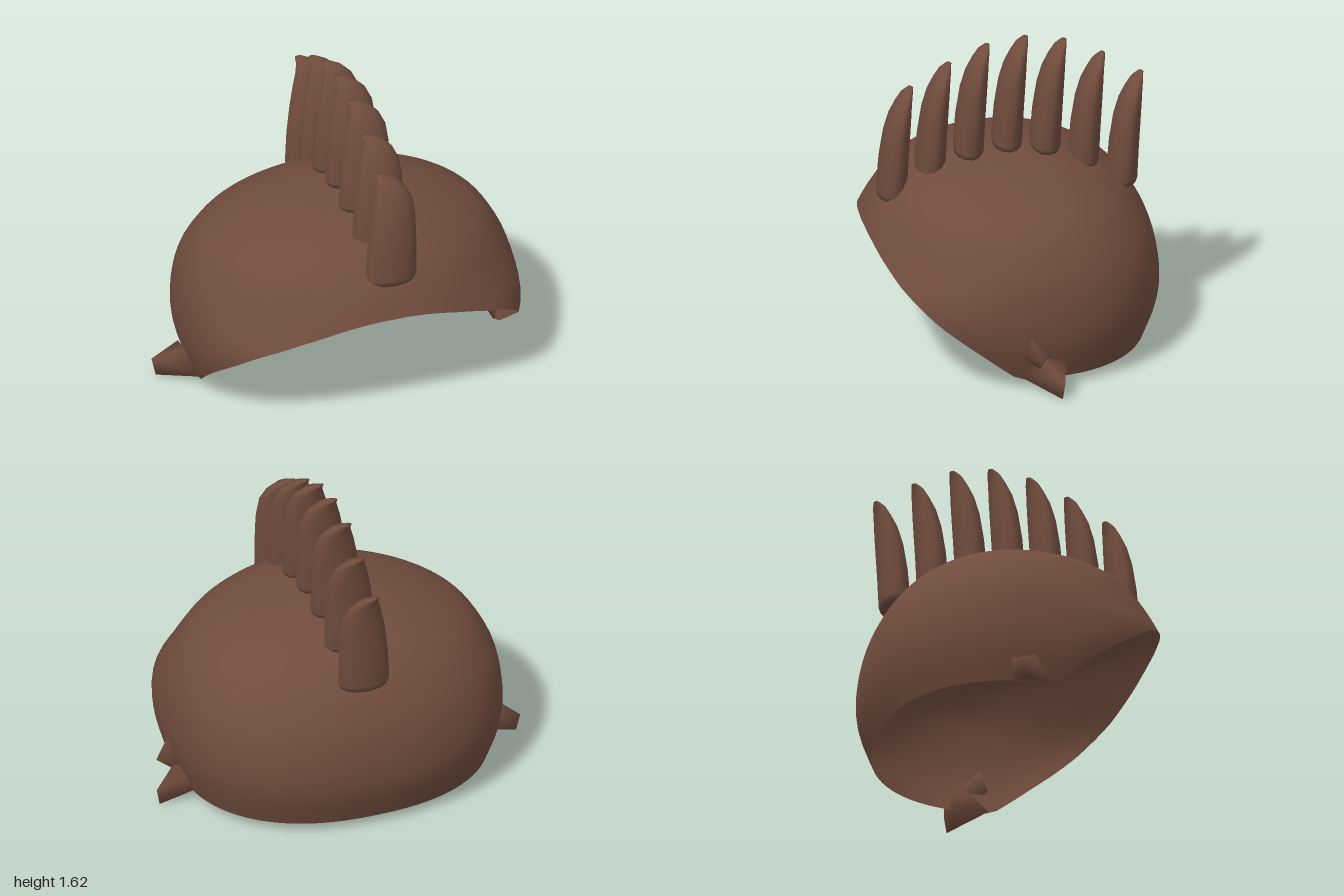
import * as THREE from 'three';
import { mergeVertices } from 'three/addons/utils/BufferGeometryUtils.js';
import { ConvexGeometry } from 'three/addons/geometries/ConvexGeometry.js';

const brown = new THREE.MeshStandardMaterial({ color: 0x704c3d, side: THREE.DoubleSide });
brown.name = 'brown';

const TOP = 1.03, BOTTOM = 0.055;

// Dome outline by height: [y, half width, front depth, back depth, front squareness, back squareness]
const OUTLINE = [
  [1.03, 0, 0, 0, 2, 2.1],
  [1.01, 0.22, 0.28, 0.18, 2, 2.1],
  [0.94, 0.5, 0.5, 0.41, 2, 2.1],
  [0.82, 0.72, 0.65, 0.58, 2, 2.15],
  [0.7, 0.81, 0.735, 0.67, 2, 2.2],
  [0.6, 0.855, 0.78, 0.72, 2.1, 2.25],
  [0.45, 0.88, 0.79, 0.757, 2.6, 2.3],
  [0.3, 0.88, 0.72, 0.765, 2.75, 2.3],
  [0.2, 0.86, 0.6, 0.745, 2.8, 2.3],
  [0.055, 0.81, 0.52, 0.69, 2.8, 2.3],
];
const outlineAt = new THREE.CubicInterpolant(
  OUTLINE.map(([y]) => Math.sqrt((TOP - y) / (TOP - BOTTOM))),
  OUTLINE.flatMap((row) => row.slice(1)), 5, new Float32Array(5));

// Point on the dome: s runs from the crown (0) to the bottom (1)
function domePoint(angle, s) {
  const [w, front, back, frontPower, backPower] = outlineAt.evaluate(s);
  const sin = Math.sin(angle), cos = Math.cos(angle);
  const depth = cos > 0 ? front : back;
  const n = cos > 0 ? frontPower : backPower;
  const r = s < 1e-6 ? 0 :
    Math.pow(Math.pow(Math.abs(sin) / w, n) + Math.pow(Math.abs(cos) / depth, n), -1 / n);
  return [r * sin, TOP - (TOP - BOTTOM) * s * s, r * cos];
}

// Height of the slanted front opening at a given z
const RIM = [[0.08, 0.055], [0.3, 0.23], [0.5, 0.38], [0.66, 0.52], [0.72, 0.59], [0.76, 0.65]];
function rimHeight(z) {
  if (z <= RIM[0][0]) return BOTTOM;
  for (let i = 1; i < RIM.length; i++) {
    const [z0, y0] = RIM[i - 1], [z1, y1] = RIM[i];
    if (z <= z1) return y0 + (y1 - y0) * (z - z0) / (z1 - z0);
  }
  return 0.65;
}

function rimParameter(angle) {
  let lo = 0, hi = 1;
  for (let k = 0; k < 30; k++) {
    const mid = (lo + hi) / 2;
    const [, y, z] = domePoint(angle, mid);
    if (y > rimHeight(z)) lo = mid; else hi = mid;
  }
  return hi;
}

function gridGeometry(positions, index) {
  let geometry = new THREE.BufferGeometry();
  geometry.setAttribute('position', new THREE.Float32BufferAttribute(positions, 3));
  geometry.setIndex(index);
  geometry = mergeVertices(geometry, 1e-5);
  geometry.computeVertexNormals();
  return geometry;
}

// Open shell, cut off along the rim
function shellGeometry() {
  const around = 96, rows = 28, positions = [], index = [];
  for (let i = 0; i < around; i++) {
    const angle = (i / around) * Math.PI * 2;
    const end = rimParameter(angle);
    for (let j = 0; j <= rows; j++) positions.push(...domePoint(angle, end * j / rows));
  }
  for (let i = 0; i < around; i++) {
    for (let j = 0; j < rows; j++) {
      const a = i * (rows + 1) + j, d = ((i + 1) % around) * (rows + 1) + j;
      index.push(a, a + 1, d + 1);
      if (j > 0) index.push(a, d + 1, d);
    }
  }
  return gridGeometry(positions, index);
}

// Crest spike: sections of [y, xMin, xMax, zMin, zMax]
function spikeGeometry() {
  const sections = [
    [0.795, 0.03, 0.05, -0.01, 0.01],
    [0.8, -0.085, 0.16, -0.07, 0.075],
    [0.83, -0.102, 0.178, -0.078, 0.08],
    [1.0, -0.09, 0.18, -0.085, 0.068],
    [1.15, -0.068, 0.18, -0.092, 0.047],
    [1.25, -0.045, 0.168, -0.097, 0.02],
    [1.32, -0.022, 0.135, -0.102, -0.015],
    [1.36, -0.012, 0.09, -0.11, -0.045],
    [1.38, -0.01, 0.035, -0.115, -0.085],
    [1.38, 0, 0.01, -0.11, -0.1],
  ];
  const sides = 12, positions = [], index = [];
  for (const [y, x0, x1, z0, z1] of sections) {
    for (let i = 0; i < sides; i++) {
      const a = (i / sides) * Math.PI * 2;
      positions.push((x0 + x1) / 2 + Math.sin(a) * (x1 - x0) / 2, y,
        (z0 + z1) / 2 + Math.cos(a) * (z1 - z0) / 2);
    }
  }
  for (let j = 0; j < sections.length - 1; j++) {
    for (let i = 0; i < sides; i++) {
      const a = j * sides + i, b = j * sides + (i + 1) % sides;
      index.push(a, b, b + sides, a, b + sides, a + sides);
    }
  }
  return gridGeometry(positions, index);
}

// Smooth solid spanned by a few corners, mirrored in x when side is -1
function wedge(name, points, side = 1) {
  const hull = new ConvexGeometry(points.map(([x, y, z]) => new THREE.Vector3(x * side, y, z)));
  hull.deleteAttribute('normal');
  const geometry = mergeVertices(hull);
  geometry.computeVertexNormals();
  const mesh = new THREE.Mesh(geometry, brown);
  mesh.name = name;
  return mesh;
}

export function createModel() {
  const model = new THREE.Group();
  model.name = 'crestedHelmet';

  const shell = new THREE.Mesh(shellGeometry(), brown);
  shell.name = 'shell';
  model.add(shell);

  // Row of seven spikes from front to back
  const crest = new THREE.Group();
  crest.name = 'crest';
  const spike = spikeGeometry();
  [0, 0.12, 0.21, 0.24, 0.21, 0.12, 0].forEach((lift, i) => {
    const mesh = new THREE.Mesh(spike, brown);
    mesh.name = `crestSpike${i + 1}`;
    mesh.position.set(0, lift, 0.61 - 0.2 * i);
    crest.add(mesh);
  });
  model.add(crest);

  // Flared points at the lower sides
  const flare = [[0.8, 0.06, 0.06], [0.855, 0.19, -0.03], [0.8, 0.06, -0.14],
    [0.845, 0.16, -0.16], [1, 0.1, -0.13], [0.98, 0.005, -0.12]];
  model.add(wedge('leftFlare', flare, 1), wedge('rightFlare', flare, -1));

  // Small extra barb on the left side only
  model.add(wedge('leftBarb', [[0.87, 0.32, 0.03], [0.85, 0.2, 0.07],
    [0.86, 0.13, -0.02], [0.85, 0.2, -0.08], [0.96, 0.21, -0.02]]));

  return model;
}
